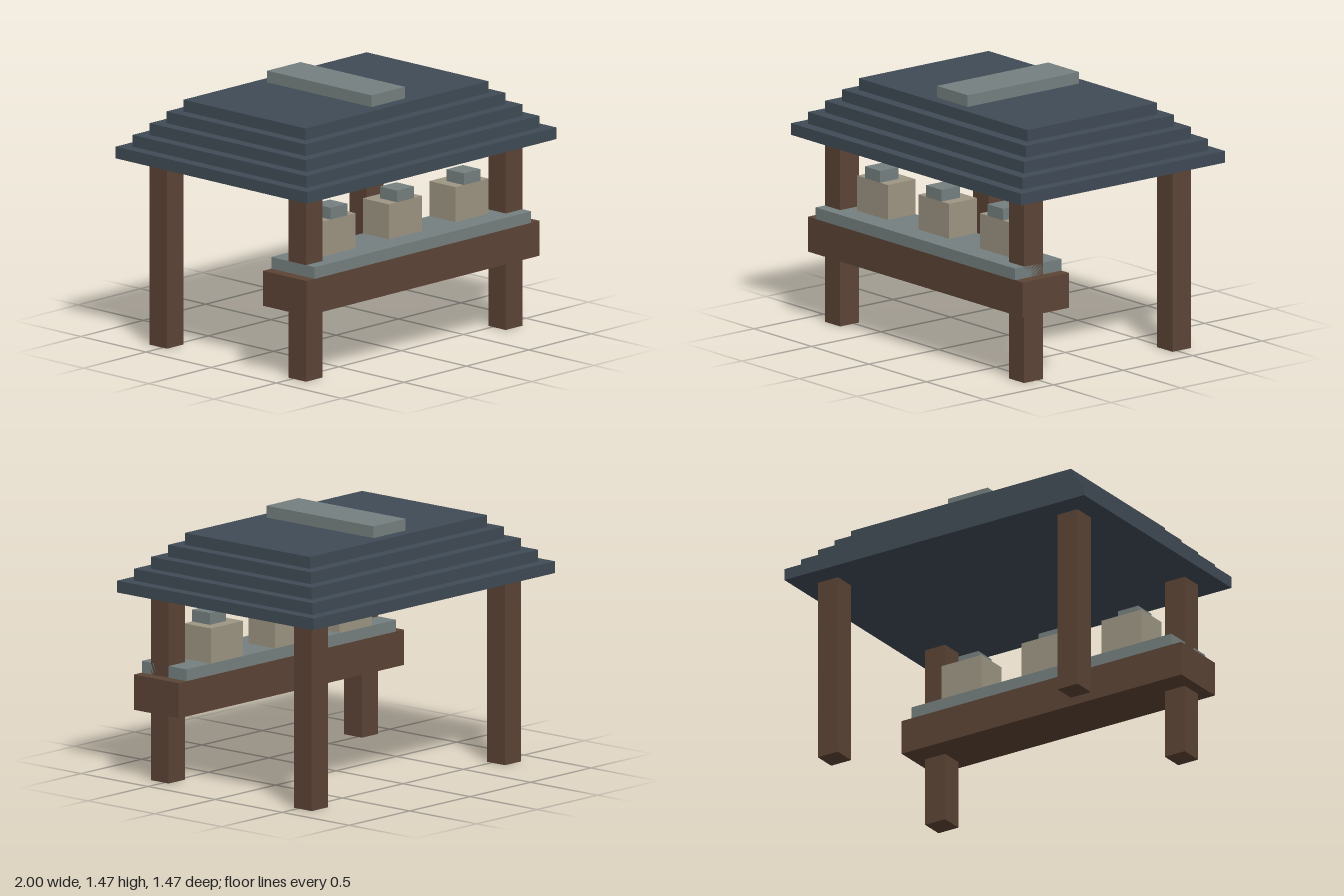
import * as THREE from 'three';

const U = 1 / 15; // block grid step

const material = (color) => new THREE.MeshStandardMaterial({ color });

export function createModel() {
  const group = new THREE.Group();
  const wood = material(0x5c4436);
  const slate = material(0x404b56);
  const stone = material(0x768080);
  const clay = material(0x9e9684);

  // Box from its min and max corners, in grid steps
  function block(name, mat, [x0, y0, z0], [x1, y1, z1]) {
    const mesh = new THREE.Mesh(
      new THREE.BoxGeometry((x1 - x0) * U, (y1 - y0) * U, (z1 - z0) * U), mat);
    mesh.position.set((x0 + x1) * U / 2, (y0 + y1) * U / 2, (z0 + z1) * U / 2);
    mesh.name = name;
    group.add(mesh);
  }

  // Four corner posts
  for (const [xName, x] of [['Right', -13], ['Left', 11]]) {
    for (const [zName, z] of [['front', 7], ['back', -9]]) {
      block(`${zName}${xName}Post`, wood, [x, 0, z], [x + 2, 16, z + 2]);
    }
  }

  // Counter along the front
  block('counterBeam', wood, [-14, 6, 5], [14, 9, 10]);
  block('counterTop', stone, [-13, 9, 5], [13, 10, 10]);

  // Three lidded jars on the counter
  [-8, 0, 8].forEach((x, i) => {
    block(`jar${i + 1}`, clay, [x - 2, 10, 5], [x + 2, 13, 8]);
    block(`jarLid${i + 1}`, stone, [x - 1, 13, 6], [x + 1, 14, 8]);
  });

  // Stepped roof, each tier one step smaller all round
  for (let i = 0; i < 5; i++) {
    block(`roofTier${i + 1}`, slate, [i - 15, 16 + i, i - 11], [15 - i, 17 + i, 11 - i]);
  }
  block('roofRidge', stone, [-2, 21, -6], [2, 22, 6]);

  return group;
}
